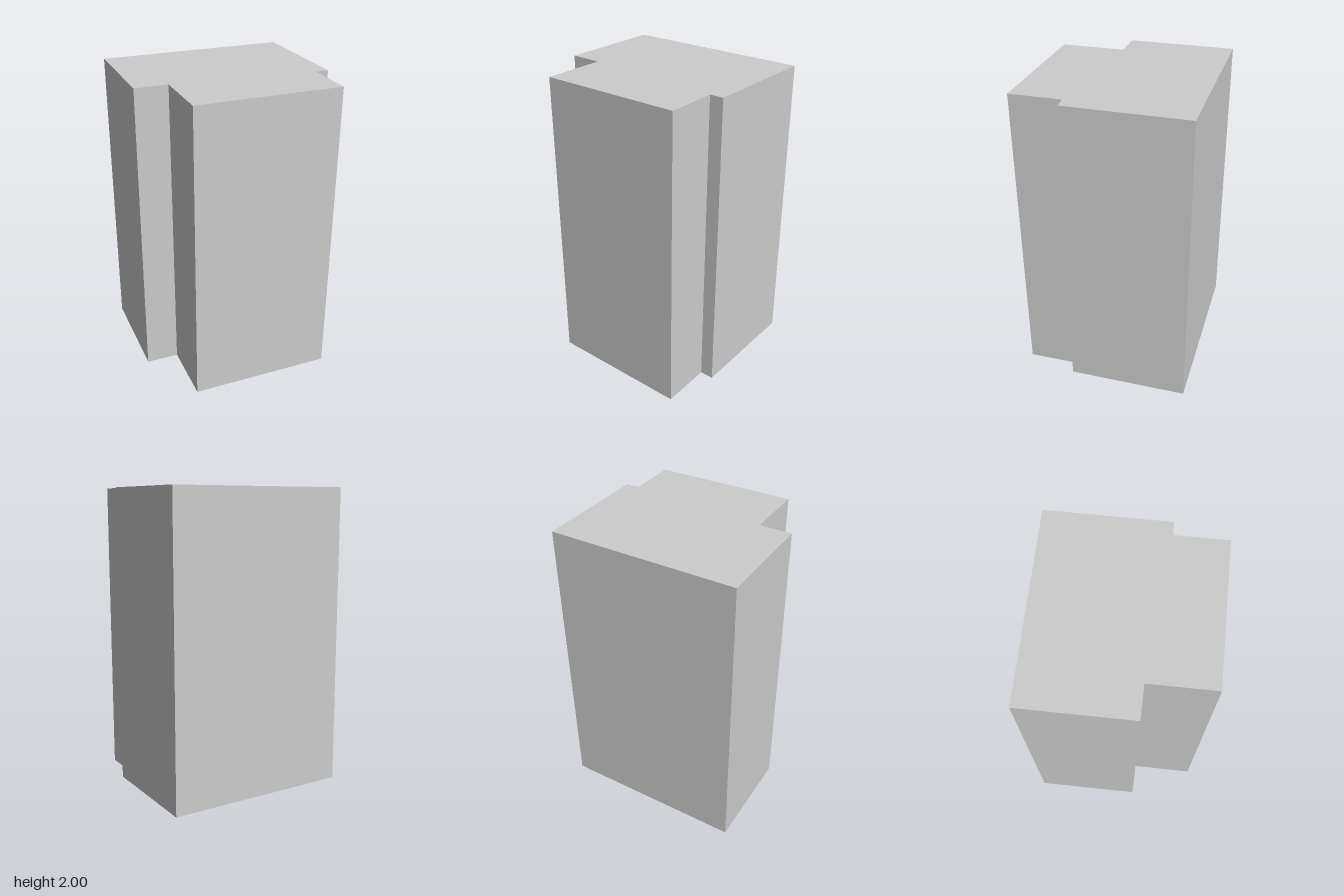
import * as THREE from 'three';

const HEIGHT = 2;

// Floor plan corners as [x, z], in order around the outside
const PLAN = [
  [-0.137, 0.712], [0.743, 0.373], [0.62, 0.056], [0.703, 0.023],
  [0.42, -0.714], [-0.744, -0.269], [-0.489, 0.393], [-0.288, 0.317],
];

export function createModel() {
  const model = new THREE.Group();
  model.name = 'building';
  const material = new THREE.MeshStandardMaterial({
    color: 0xcccccc, flatShading: true, side: THREE.DoubleSide,
  });

  // Thin outer walls, one flat panel per side of the plan
  const walls = new THREE.Group();
  walls.name = 'walls';
  PLAN.forEach(([x0, z0], i) => {
    const [x1, z1] = PLAN[(i + 1) % PLAN.length];
    const dx = x1 - x0, dz = z1 - z0;
    const wall = new THREE.Mesh(new THREE.PlaneGeometry(Math.hypot(dx, dz), HEIGHT), material);
    wall.name = 'wall' + (i + 1);
    wall.position.set((x0 + x1) / 2, HEIGHT / 2, (z0 + z1) / 2);
    wall.rotation.y = Math.atan2(-dz, dx);
    walls.add(wall);
  });
  model.add(walls);

  // Flat roof; the underside of the shell stays open
  const outline = new THREE.Shape(PLAN.map(([x, z]) => new THREE.Vector2(x, -z)));
  const roof = new THREE.Mesh(new THREE.ShapeGeometry(outline).rotateX(-Math.PI / 2), material);
  roof.name = 'roof';
  roof.position.y = HEIGHT;
  model.add(roof);

  return model;
}
